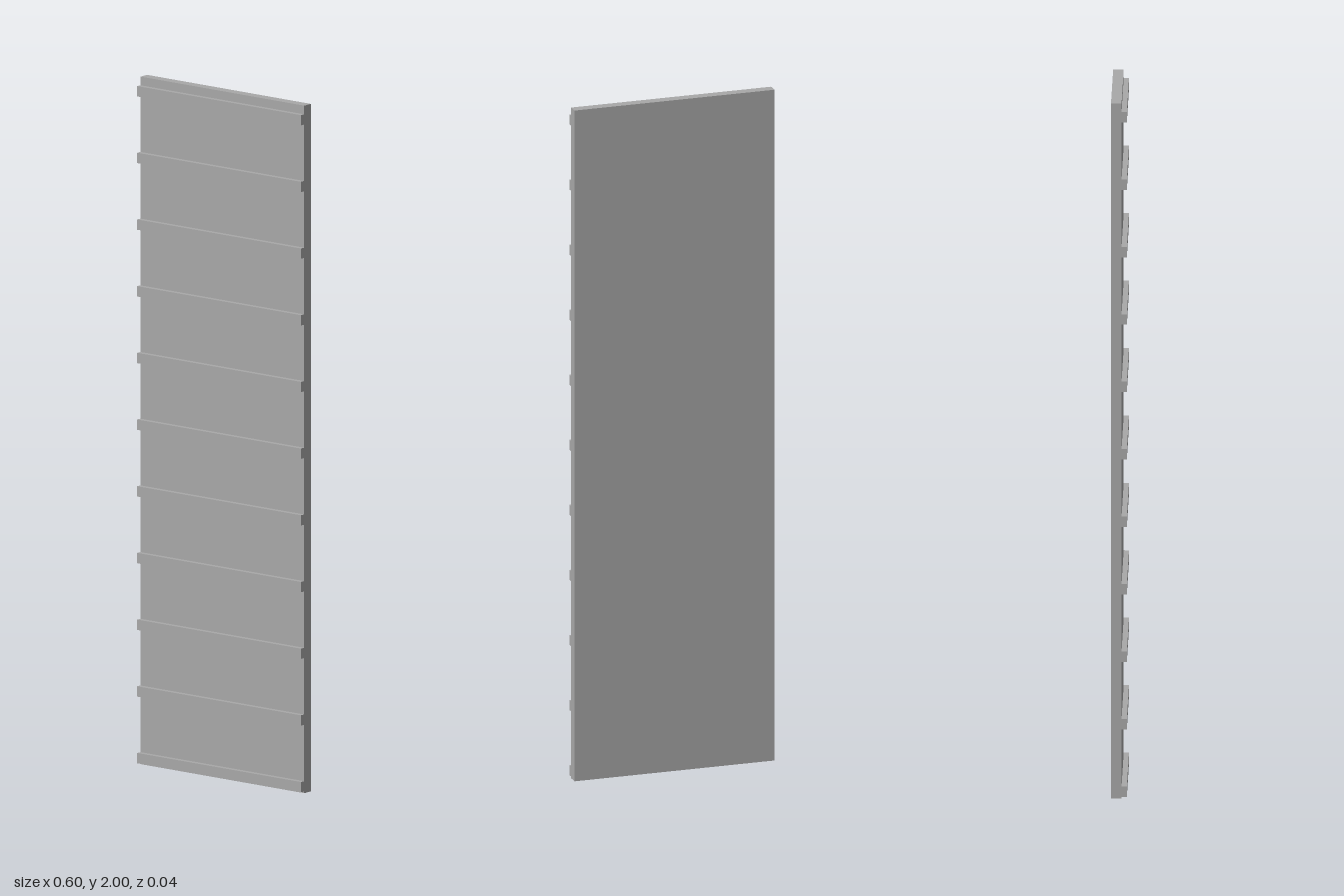
import * as THREE from 'three';

export function createModel() {
  const model = new THREE.Group();
  model.name = 'slattedPanel';
  const grey = new THREE.MeshStandardMaterial({ color: 0xa8a8a8 });
  grey.name = 'grey';

  const width = 0.6, half = 0.0225, panelDepth = 0.03, slatDepth = 0.015;

  function addBox(name, height, depth, y, z) {
    const mesh = new THREE.Mesh(new THREE.BoxGeometry(width, height, depth), grey);
    mesh.name = name;
    mesh.position.set(0, y, z);
    model.add(mesh);
  }

  // Flat backing board
  addBox('panel', 2, panelDepth, 1, -half + panelDepth / 2);

  // Evenly spaced horizontal slats on the front
  for (let i = 0; i < 11; i++) {
    addBox(`slat${i + 1}`, 0.03, slatDepth, 0.02 + i * 0.194, half - slatDepth / 2);
  }
  return model;
}
